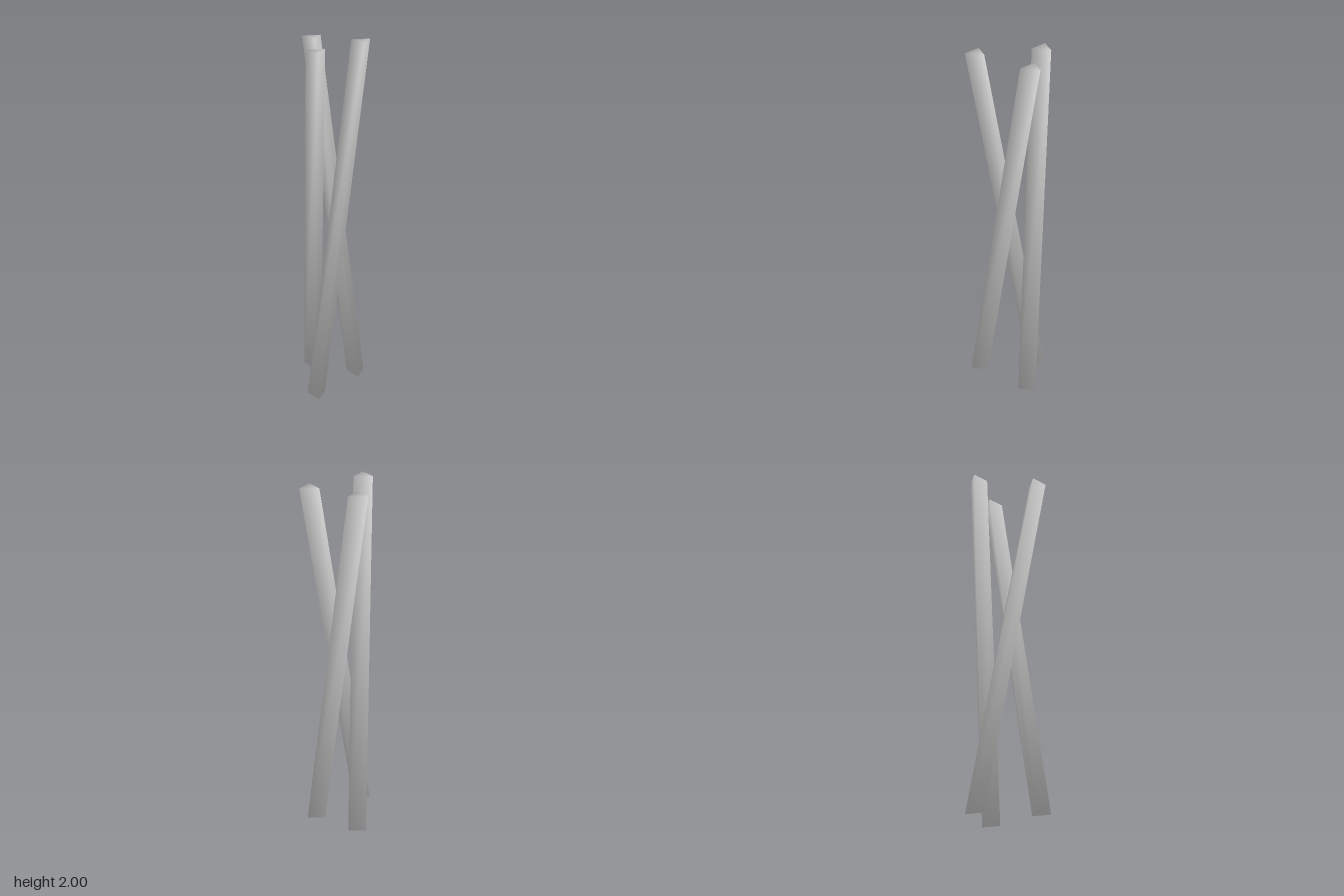
import * as THREE from 'three';

const RADIUS = 0.0588; // circumradius of the triangular section
const HEIGHT = 2;

// Leaning three-sided rod with level ends; normals are shared by sides and caps
function makeRod(top, bottom) {
  const positions = [], normals = [], index = [2, 1, 0, 3, 4, 5];
  for (const [centre, y, up] of [[top, HEIGHT, 0.55], [bottom, 0, -0.55]]) {
    for (let i = 0; i < 3; i++) {
      const a = Math.PI / 3 + (i * 2 * Math.PI) / 3;
      const c = Math.cos(a), s = Math.sin(a);
      positions.push(centre[0] + RADIUS * c, y, centre[1] + RADIUS * s);
      normals.push(0.835 * c, up, 0.835 * s);
    }
  }
  for (let i = 0; i < 3; i++) {
    const j = (i + 1) % 3;
    index.push(j + 3, i + 3, i, j + 3, i, j);
  }
  const geometry = new THREE.BufferGeometry();
  geometry.setAttribute('position', new THREE.Float32BufferAttribute(positions, 3));
  geometry.setAttribute('normal', new THREE.Float32BufferAttribute(normals, 3));
  geometry.setIndex(index);
  return geometry;
}

export function createModel() {
  const group = new THREE.Group();
  group.name = 'leaningRods';
  const material = new THREE.MeshStandardMaterial({ color: 0xcccccc });

  // Each rod runs from one corner of a triangle to the next: [x, z] at top and foot
  const rods = {
    backRod: [[-0.126, -0.159], [0.146, -0.159]],
    rightRod: [[0.0155, 0.158], [-0.126, -0.159]],
    leftRod: [[0.154, -0.159], [0.0155, 0.158]],
  };
  for (const [name, [top, bottom]] of Object.entries(rods)) {
    const rod = new THREE.Mesh(makeRod(top, bottom), material);
    rod.name = name;
    group.add(rod);
  }
  return group;
}
